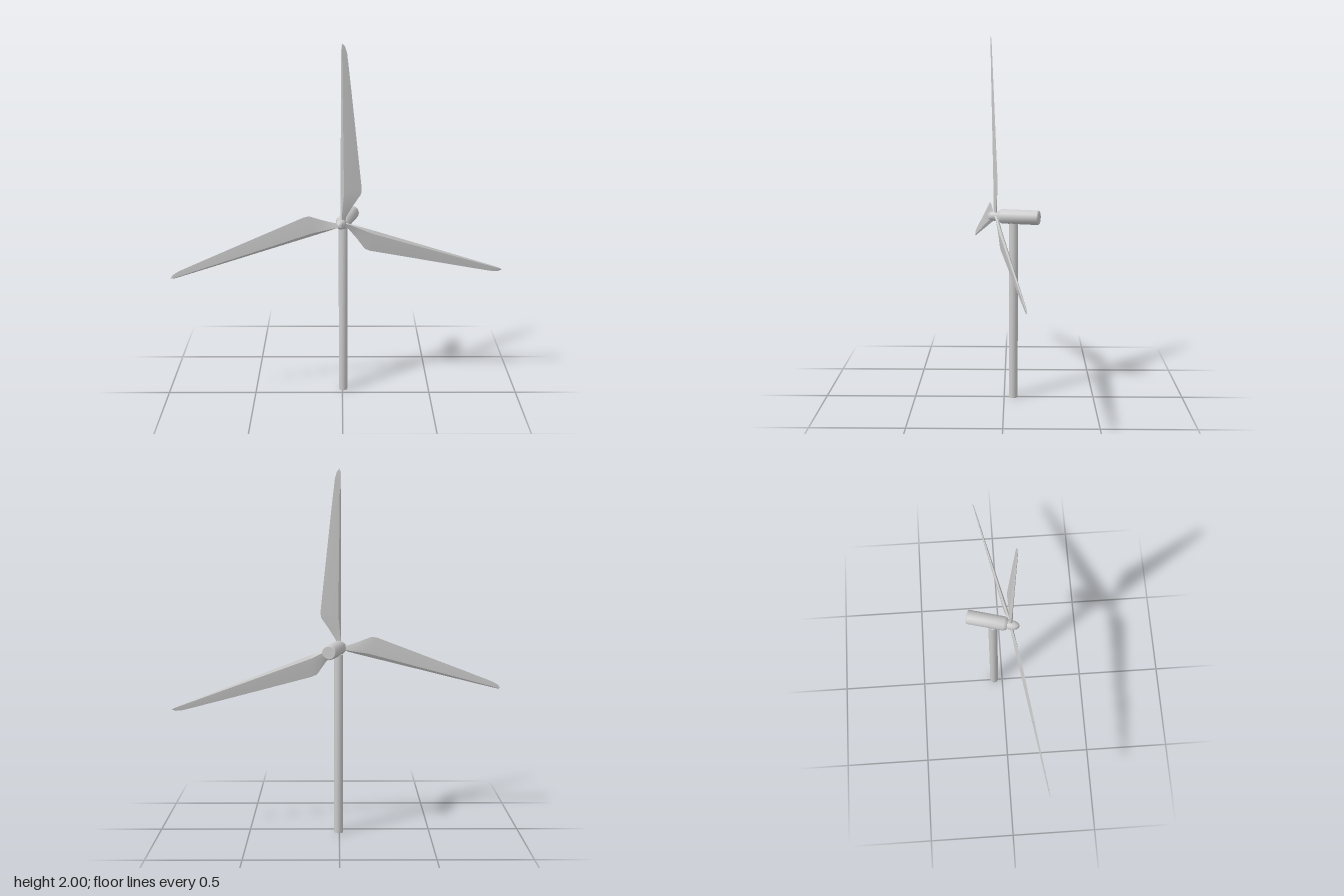
import * as THREE from 'three';
import { toCreasedNormals } from 'three/addons/utils/BufferGeometryUtils.js';

const material = new THREE.MeshStandardMaterial({ color: 0xcccccc });

function addMesh(parent, name, geometry, crease = 0.7) {
  const mesh = new THREE.Mesh(toCreasedNormals(geometry, crease), material);
  mesh.name = name;
  parent.add(mesh);
  return mesh;
}

// Turned body along z from [radius, z] points, listed from back to front
function turned(points, sides) {
  const profile = points.map(([r, z]) => new THREE.Vector2(r, z));
  return new THREE.LatheGeometry(profile, sides).rotateZ(Math.PI / sides).rotateX(Math.PI / 2);
}

// Blade stations: distance from hub, straight edge x, swept edge x, thickness
const STATIONS = [
  [0.0, -0.012, 0.012, 0.018],
  [0.04, -0.012, 0.018, 0.018],
  [0.1, -0.013, 0.055, 0.018],
  [0.165, -0.013, 0.1, 0.018],
  [0.195, -0.013, 0.103, 0.018],
  [0.45, -0.012, 0.075, 0.014],
  [0.75, -0.011, 0.042, 0.009],
  [0.92, -0.01, 0.022, 0.006],
  [0.955, -0.009, 0.012, 0.004],
  [0.972, -0.004, -0.002, 0.001],
];

// Loft of a six-point aerofoil, thickest near the straight edge
function bladeGeometry() {
  const positions = [];
  const index = [];
  const section = [[0, 0], [0.15, 0.5], [0.45, 0.38], [1, 0], [0.45, -0.38], [0.15, -0.5]];
  const n = section.length;
  STATIONS.forEach(([r, x0, x1, t], i) => {
    for (const [u, v] of section) positions.push(x0 + (x1 - x0) * u, r, v * t);
    if (i === 0) return;
    for (let j = 0; j < n; j++) {
      const a = (i - 1) * n + j;
      const b = (i - 1) * n + (j + 1) % n;
      index.push(a, b, a + n, b, b + n, a + n);
    }
  });
  // Tip cap
  const last = (STATIONS.length - 1) * n;
  for (let j = 1; j < n - 1; j++) index.push(last, last + j, last + j + 1);
  const geometry = new THREE.BufferGeometry();
  geometry.setAttribute('position', new THREE.Float32BufferAttribute(positions, 3));
  geometry.setIndex(index);
  geometry.computeVertexNormals();
  return geometry;
}

export function createModel() {
  const model = new THREE.Group();
  model.name = 'windTurbine';

  // Tower
  const tower = addMesh(model, 'tower', new THREE.CylinderGeometry(0.025, 0.025, 1.0, 12));
  tower.position.set(0.004, 0.5, -0.051);

  // Nacelle, a blunt cylinder with bevelled ends
  const nacelle = addMesh(model, 'nacelle', turned([
    [0, -0.198], [0.035, -0.198], [0.04, -0.193], [0.04, 0.012], [0.034, 0.026], [0.022, 0.034], [0, 0.034],
  ], 12));
  nacelle.position.set(0.005, 1.028, 0);

  // Hub with rounded nose
  const hub = addMesh(model, 'hub', turned([
    [0, 0.02], [0.027, 0.02], [0.028, 0.05], [0.025, 0.07], [0.019, 0.085], [0.011, 0.094], [0, 0.097],
  ], 12), 1);
  hub.position.set(0.005, 1.028, 0);

  // Rotor, slightly yawed and tilted
  const rotor = new THREE.Group();
  rotor.name = 'rotor';
  rotor.position.set(0.002, 1.028, 0.046);
  rotor.rotation.set(0.025, 0.172, 0);
  model.add(rotor);

  [['topBlade', 0], ['rightBlade', 105], ['leftBlade', -109.5]].forEach(([name, degrees]) => {
    const blade = addMesh(rotor, name, bladeGeometry(), 0.5);
    blade.rotation.z = THREE.MathUtils.degToRad(degrees);
  });

  return model;
}
